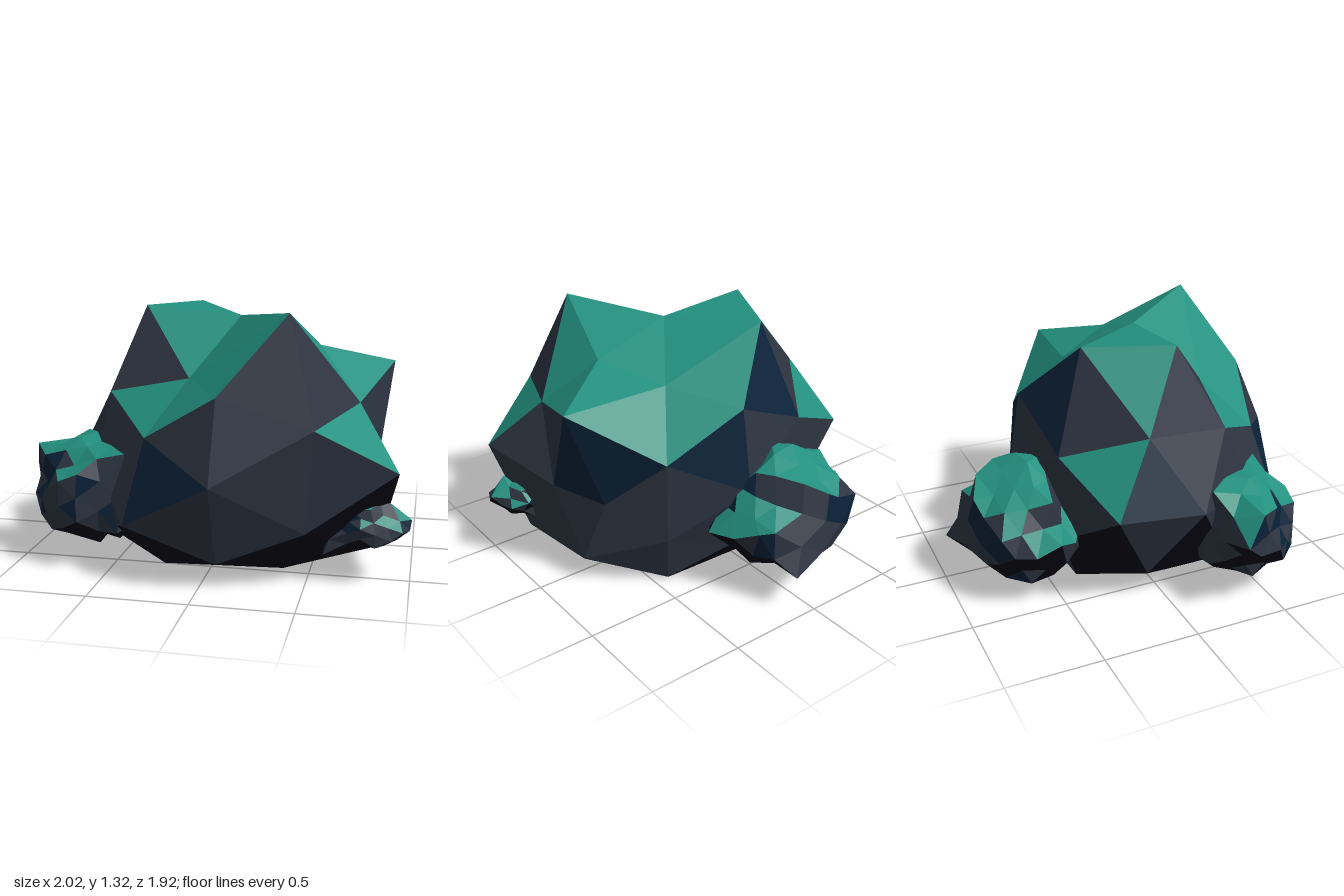
import * as THREE from 'three';

const colours = { moss: 0x23907f, slate: 0x2e3542, navy: 0x0b2239, underside: 0x070515 };
const NAMES = Object.keys(colours);
const V = (x, y, z) => new THREE.Vector3(x, y, z);
const keyOf = (d) => d.toArray().map((n) => Math.round(n * 100)).join(',');
// Squashes the underside so the rocks sit flat
const flatten = (y) => (y < -0.45 ? -0.45 + (y + 0.45) * 0.32 : y);

// Repeatable noise in 0..1 from a text key
function noise(key, seed) {
  let h = 2166136261 ^ (seed * 7919);
  for (const ch of key) h = Math.imul(h ^ ch.charCodeAt(0), 16777619);
  h = Math.imul(h ^ (h >>> 15), 2246822507);
  h = Math.imul(h ^ (h >>> 13), 3266489909);
  return ((h ^ (h >>> 16)) >>> 0) / 4294967296;
}

// Unique directions of a subdivided ball: top to bottom, front to back, -x to +x
function directions(geometry) {
  const p = geometry.attributes.position;
  const found = new Map();
  for (let i = 0; i < p.count; i++) {
    const d = new THREE.Vector3().fromBufferAttribute(p, i);
    if (!found.has(keyOf(d))) found.set(keyOf(d), d);
  }
  const r = (n) => Math.round(n * 100);
  return [...found.values()].sort((a, b) => r(b.y) - r(a.y) || r(b.z) - r(a.z) || r(a.x) - r(b.x));
}

// Faceted rock: place() gives each corner, isNavy() picks the blue facets
function rock(name, ball, place, isNavy, materials) {
  const p = ball.attributes.position;
  const faces = NAMES.map(() => []);
  for (let i = 0; i < p.count; i += 3) {
    const dirs = [0, 1, 2].map((k) => new THREE.Vector3().fromBufferAttribute(p, i + k));
    const pts = dirs.map(place);
    const normal = pts[1].clone().sub(pts[0]).cross(pts[2].clone().sub(pts[0])).normalize();
    const middle = dirs[0].clone().add(dirs[1]).add(dirs[2]).normalize();
    let c = 1;
    if (normal.y > 0.58) c = 0;
    else if (normal.y < -0.4) c = 3;
    else if (isNavy(middle)) c = 2;
    pts.forEach((q) => faces[c].push(q.x, q.y, q.z));
  }
  const geometry = new THREE.BufferGeometry();
  geometry.setAttribute('position', new THREE.Float32BufferAttribute(faces.flat(), 3));
  let start = 0;
  faces.forEach((list, c) => {
    geometry.addGroup(start, list.length / 3, c);
    start += list.length / 3;
  });
  geometry.computeVertexNormals();
  const mesh = new THREE.Mesh(geometry, materials);
  mesh.name = name;
  return mesh;
}

// Large boulder: one radius per corner
function boulder(materials) {
  const ball = new THREE.IcosahedronGeometry(1, 1);
  const radii = [
    0.82, 0.96, 0.79,
    0.68, 1.02, 0.98, 0.74,
    0.87, 0.89,
    0.80, 0.79, 0.86, 0.97,
    0.76, 0.93, 0.86, 0.80,
    0.94, 0.80, 1.0, 0.865, 0.72, 1.0, 0.73, 0.84,
    0.93, 0.84, 0.85, 0.78,
    0.85, 0.92, 0.85, 0.86,
    0.89, 0.80,
    1.0, 0.95, 1.13, 1.1,
    1.0, 0.84, 0.91,
  ];
  const radius = new Map(directions(ball).map((d, i) => [keyOf(d), radii[i]]));
  const place = (d) => {
    const r = radius.get(keyOf(d));
    return V(0.085 + d.x * r, 0.25 + (flatten(d.y * 0.9) + 0.32) * r, 0.14 + d.z * 0.87 * r);
  };
  const blue = [
    V(-1, 0, 2.6), V(2.66, 0.5, -0.83), V(-0.81, 1.64, -2.16), V(-2.66, 0.5, -0.83),
    V(2.16, 0.81, -1.64), V(0.5, 0.84, -2.66), V(-2.16, -0.81, -1.64),
  ].map((v) => v.normalize());
  return rock('boulder', ball, place, (m) => blue.some((b) => b.dot(m) > 0.985), materials);
}

// Small jagged rock: noisy ellipsoid drawn out towards a few tips
function clump(name, centre, size, tips, seed, materials) {
  const ball = new THREE.IcosahedronGeometry(1, 2);
  const corners = new Map();
  const dirs = directions(ball);
  for (const d of dirs) {
    const r = 0.78 + 0.22 * noise(keyOf(d), seed);
    corners.set(keyOf(d), V(d.x, flatten(d.y), d.z).multiplyScalar(r).multiply(size).add(centre));
  }
  for (const t of tips) {
    const tip = V(...t);
    const aim = tip.clone().sub(centre).divide(size).normalize();
    const nearest = dirs.reduce((a, b) => (b.dot(aim) > a.dot(aim) ? b : a));
    const pull = tip.sub(corners.get(keyOf(nearest)));
    for (const d of dirs) {
      const weight = Math.max(0, 1 - d.angleTo(nearest) / 0.7) ** 2;
      corners.get(keyOf(d)).addScaledVector(pull, weight);
    }
  }
  return rock(name, ball, (d) => corners.get(keyOf(d)), (m) => noise(keyOf(m), seed + 5) < 0.3, materials);
}

export function createModel() {
  const materials = NAMES.map((name) => {
    const m = new THREE.MeshStandardMaterial({ color: colours[name] });
    m.name = name;
    return m;
  });
  const group = new THREE.Group();
  group.name = 'mossyRocks';
  group.add(boulder(materials));
  group.add(clump('backRock', V(-0.14, 0.33, -0.6), V(0.42, 0.38, 0.32), [
    [-0.2, 0.7, -0.58], [-0.2, 0.08, -0.7], [-0.57, 0.4, -0.54], [-0.45, 0.42, -0.81],
    [-0.19, 0.54, -0.87], [0.09, 0.2, -0.96], [0.19, 0.4, -0.78], [0.3, 0.33, -0.52],
  ], 3, materials));
  group.add(clump('rightSideRock', V(-0.64, 0.33, 0.43), V(0.33, 0.33, 0.29), [
    [-0.6, 0.08, 0.48], [-0.9, 0.25, 0.42], [-0.45, 0.2, 0.66], [-0.74, 0.62, 0.2],
    [-0.65, 0.38, 0.7], [-0.38, 0.61, 0.62], [-1, 0.42, 0.26], [-0.97, 0.57, 0.36],
  ], 8, materials));
  group.add(clump('leftSideRock', V(0.76, 0.27, 0.48), V(0.22, 0.16, 0.18), [
    [0.58, 0.15, 0.62], [0.86, 0.3, 0.33], [0.89, 0.4, 0.52], [0.91, 0.2, 0.5],
    [0.96, 0.28, 0.6], [1, 0.315, 0.49],
  ], 12, materials));
  return group;
}
